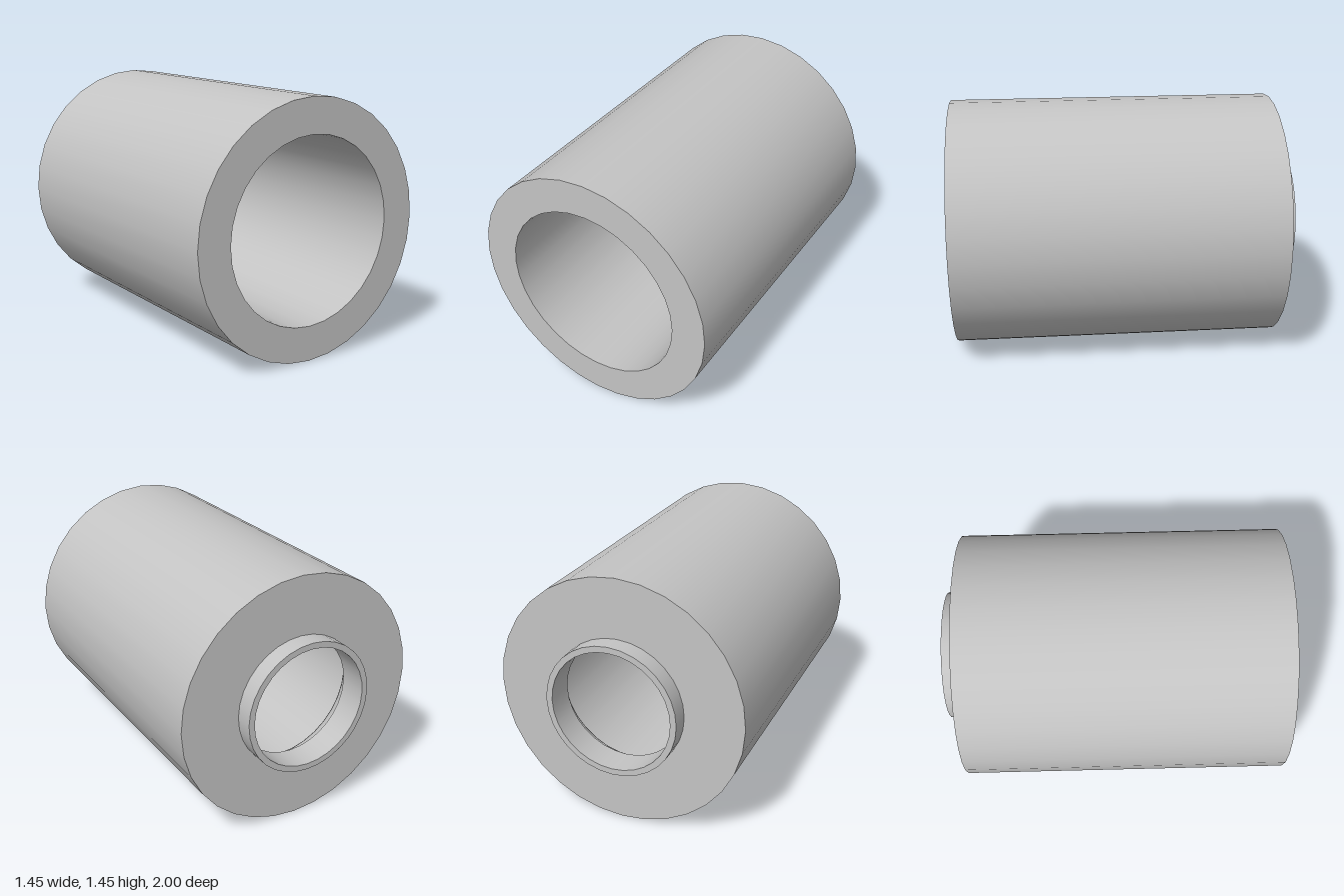
import * as THREE from 'three';
import { mergeGeometries } from 'three/addons/utils/BufferGeometryUtils.js';

const SIDES = 32;
const R = 0.727;       // body radius
const BORE = 0.527;    // wide bore radius
const NECK = 0.385;    // neck outer radius
const HOLE = 0.35;     // neck inner radius
const BACK = -0.895;   // body back face
const SEAT = -0.832;   // inner end of the neck

// Each run of [radius, z] points is smooth; separate runs meet at sharp edges.
function turned(name, runs, material) {
  const parts = runs.map((run) =>
    new THREE.LatheGeometry(run.map(([r, z]) => new THREE.Vector2(r, z)), SIDES));
  const mesh = new THREE.Mesh(mergeGeometries(parts).rotateX(Math.PI / 2), material);
  mesh.name = name;
  mesh.position.y = R;
  return mesh;
}

export function createModel() {
  const grey = new THREE.MeshStandardMaterial({ color: 0xc4c4c4 });
  grey.name = 'plain grey';

  // Rounded shoulder leading from the bore into the narrow hole
  const round = BORE - NECK;
  const shoulder = [];
  for (let i = 0; i <= 10; i++) {
    const t = (i / 10) * Math.PI / 2;
    shoulder.push([BORE - round * Math.sin(t), SEAT + round * Math.cos(t)]);
  }

  const group = new THREE.Group();
  group.name = 'hollowCylinder';
  group.add(
    turned('body', [
      [[R, BACK], [R, 1]],                      // outer wall
      [[R, 1], [BORE, 1]],                      // front rim
      [[BORE, 1], [BORE, SEAT + round]],        // bore
      shoulder,
      [[NECK, BACK], [R, BACK]],                // back face
    ], grey),
    turned('neck', [
      [[NECK, -1], [NECK, BACK]],               // outer wall
      [[NECK, SEAT], [HOLE, SEAT]],             // inner end
      [[HOLE, SEAT], [HOLE, -1]],               // hole
      [[HOLE, -1], [NECK, -1]],                 // back rim
    ], grey),
  );
  return group;
}
